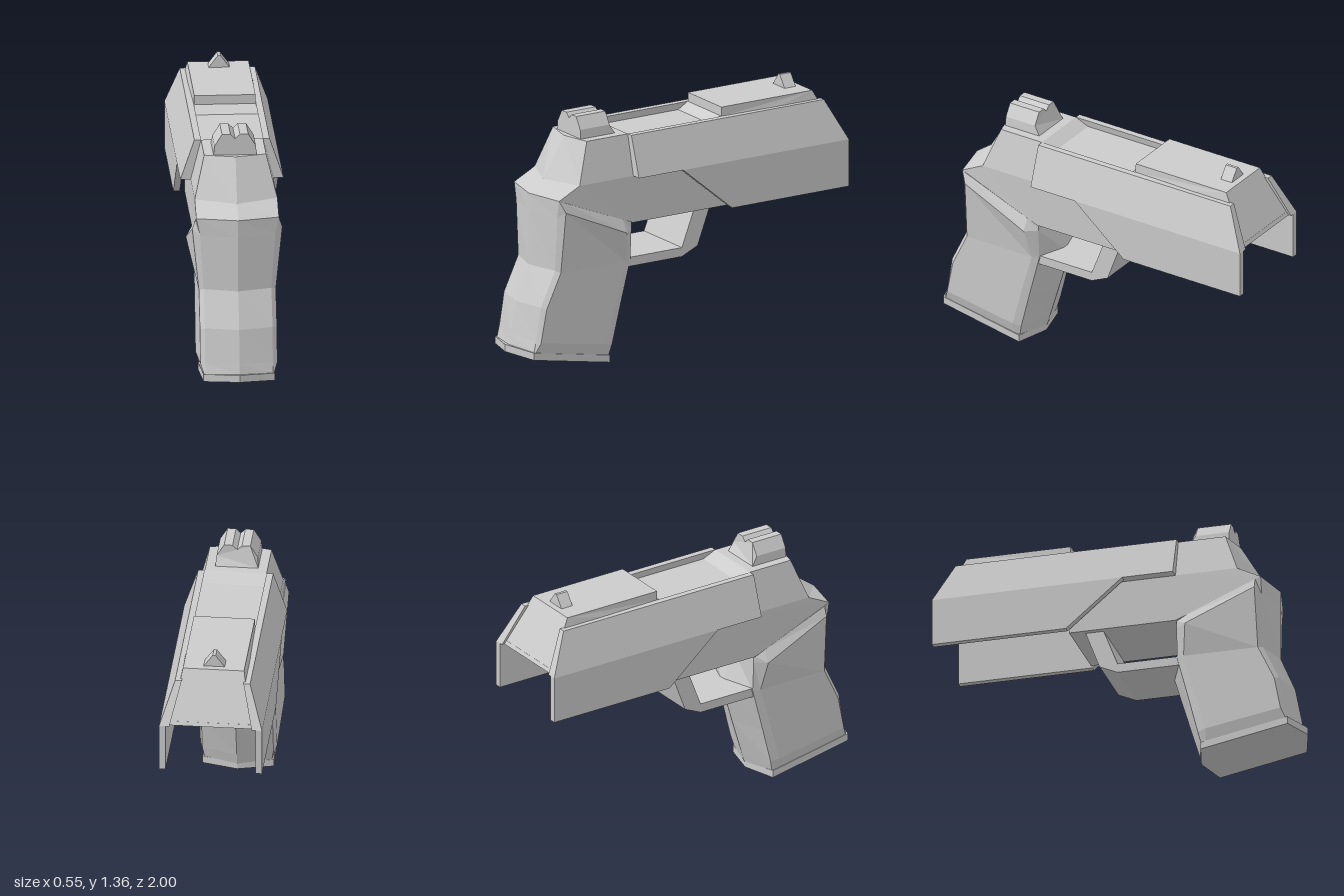
import * as THREE from 'three';

const grey = new THREE.MeshStandardMaterial({ color: 0xcccccc, flatShading: true, side: THREE.DoubleSide });

export function createModel() {
  const model = new THREE.Group();

  function add(name, geometry) {
    const flat = geometry.index ? geometry.toNonIndexed() : geometry;
    flat.computeVertexNormals();
    const mesh = new THREE.Mesh(flat, grey);
    mesh.name = name;
    model.add(mesh);
  }

  const toShape = (points) => new THREE.Shape(points.map(([a, b]) => new THREE.Vector2(a, b)));

  // Side profile of [z, y] points, stretched across x from lo(y) to hi(y)
  function sidePrism(profile, lo, hi) {
    const g = new THREE.ExtrudeGeometry(toShape(profile), { depth: 1, bevelEnabled: false });
    g.rotateY(-Math.PI / 2);
    const p = g.attributes.position;
    for (let i = 0; i < p.count; i++) {
      const y = p.getY(i);
      p.setX(i, THREE.MathUtils.lerp(lo(y), hi(y), p.getX(i) + 1));
    }
    return g;
  }

  // Skin over half rings of [x, y, z], listed top to bottom, each running from
  // the back centre round the left side to the front centre, mirrored in x
  function loft(halfRings) {
    const pos = [];
    const quad = (a, b, c, d) => pos.push(...a, ...b, ...c, ...a, ...c, ...d);
    const flip = ([x, y, z]) => [-x, y, z];
    const steps = halfRings[0].length - 1;
    halfRings.forEach((ring, r) => {
      const next = halfRings[r + 1];
      for (let j = 0; j < steps; j++) {
        const a = ring[j], b = ring[j + 1];
        if (next) {
          quad(a, next[j], next[j + 1], b);
          quad(flip(b), flip(next[j + 1]), flip(next[j]), flip(a));
        }
        if (r === 0) quad(a, b, flip(b), flip(a));
        if (!next) quad(flip(a), flip(b), b, a);
      }
    });
    const g = new THREE.BufferGeometry();
    g.setAttribute('position', new THREE.Float32BufferAttribute(pos, 3));
    return g;
  }

  // Slide walls: tapered upper half and upright lower half, on both sides
  const outer = (y) => 0.275 - Math.max(0, y - 1.02) * 0.34;
  const inner = (y) => 0.22 - Math.max(0, y - 1.02) * 0.25;
  const upperWall = [[0.33, 1.02], [0.33, 1.24], [-0.89, 1.24], [-1, 1.02]];
  const lowerWall = [[0.05, 1.02], [-0.26, 0.76], [-1, 0.76], [-1, 1.02]];
  for (const [side, s] of [['left', 1], ['right', -1]]) {
    const wall = (profile, inside) => (s > 0
      ? sidePrism(profile, inside, outer)
      : sidePrism(profile, (y) => -outer(y), (y) => -inside(y)));
    add(side + 'UpperSlideWall', wall(upperWall, inner));
    add(side + 'LowerSlideWall', wall(lowerWall, () => 0.24));
  }

  // Slide core: sunken rear channel, raised top plate and sloping nose
  const core = (y) => Math.max(0.163, inner(y));
  add('slideCore', sidePrism([
    [0.33, 1.02], [0.33, 1.24], [0.26, 1.2], [-0.21, 1.2], [-0.265, 1.24],
    [-0.265, 1.29], [-0.84, 1.29], [-0.985, 1.02],
  ], (y) => -core(y), core));

  // Nose corners that close the gap to the lower walls
  add('noseLip', sidePrism([[-0.8, 1.02], [-0.8, 1.04], [-0.975, 1.04], [-0.985, 1.02]], () => -0.24, () => 0.24));

  // Rear block with a ridge down its back
  add('rearBlock', loft([
    [[0, 1.24, 0.63], [0.165, 1.24, 0.59], [0.165, 1.24, 0.33], [0, 1.24, 0.33]],
    [[0, 1.02, 0.76], [0.22, 1.02, 0.67], [0.22, 1.02, 0.33], [0, 1.02, 0.33]],
  ]));

  // Frame below the slide
  add('frame', loft([
    [[0, 1.02, 0.76], [0.22, 1.02, 0.67], [0.22, 1.02, 0.33], [0.22, 1.02, -0.26], [0, 1.02, -0.26]],
    [[0, 0.955, 0.85], [0.22, 0.955, 0.8], [0.215, 0.76, 0.33], [0.215, 0.76, -0.26], [0, 0.76, -0.26]],
  ]));

  // Grip: bulging side panels, ridged front and back
  add('grip', loft([
    [[0, 0.955, 0.85], [0.22, 0.955, 0.8], [0.222, 0.942, 0.77], [0.216, 0.785, 0.39], [0.2, 0.76, 0.33], [0, 0.76, 0.33]],
    [[0, 0.86, 0.85], [0.2, 0.86, 0.8], [0.24, 0.89, 0.77], [0.25, 0.72, 0.39], [0.2, 0.72, 0.33], [0, 0.72, 0.33]],
    [[0, 0.56, 0.85], [0.18, 0.56, 0.8], [0.205, 0.55, 0.78], [0.205, 0.55, 0.37], [0.19, 0.55, 0.33], [0, 0.52, 0.26]],
    [[0, 0.37, 0.93], [0.18, 0.37, 0.89], [0.205, 0.36, 0.87], [0.205, 0.3, 0.44], [0.19, 0.3, 0.395], [0, 0.3, 0.325]],
    [[0, 0.19, 0.965], [0.18, 0.185, 0.92], [0.205, 0.18, 0.905], [0.205, 0.11, 0.49], [0.19, 0.1, 0.445], [0, 0.1, 0.385]],
    [[0, 0.135, 0.975], [0.18, 0.125, 0.935], [0.185, 0.12, 0.93], [0.185, 0.045, 0.49], [0.18, 0.04, 0.46], [0, 0.035, 0.405]],
  ]));

  // Tilted base plate under the grip
  const baseOutline = [[0, 1], [0.19, 0.94], [0.19, 0.46], [0, 0.41]];
  add('basePlate', loft([0.04, 0].map((lift) =>
    baseOutline.map(([x, z]) => [x, lift + Math.max(0, 0.1 - (1 - z) * 0.185), z]))));

  // Trigger guard
  add('triggerGuard', sidePrism([
    [0.34, 0.56], [0.36, 0.51], [0.25, 0.51], [0, 0.51], [-0.1, 0.555],
    [-0.18, 0.77], [-0.08, 0.77], [0, 0.56],
  ], () => -0.185, () => 0.185));

  // Rear sight: notched block whose front foot flares forward
  const half = [[0.025, 1.355], [0.07, 1.355], [0.11, 1.29], [0.115, 1.24]];
  const rearSight = new THREE.ExtrudeGeometry(
    toShape([[0, 1.33], ...half, ...half.map(([x, y]) => [-x, y]).reverse()]),
    { depth: 0.185, bevelEnabled: false });
  rearSight.translate(0, 0, 0.41);
  const p = rearSight.attributes.position;
  for (let i = 0; i < p.count; i++) {
    if (p.getZ(i) < 0.5 && p.getY(i) < 1.26) p.setZ(i, 0.38);
  }
  add('rearSight', rearSight);

  // Front sight: small wedge on the top plate
  const frontSight = new THREE.ExtrudeGeometry(
    toShape([[-0.06, 1.285], [0.06, 1.285], [0.008, 1.355], [-0.008, 1.355]]),
    { depth: 0.07, bevelEnabled: false });
  frontSight.translate(0, 0, -0.805);
  add('frontSight', frontSight);

  return model;
}
